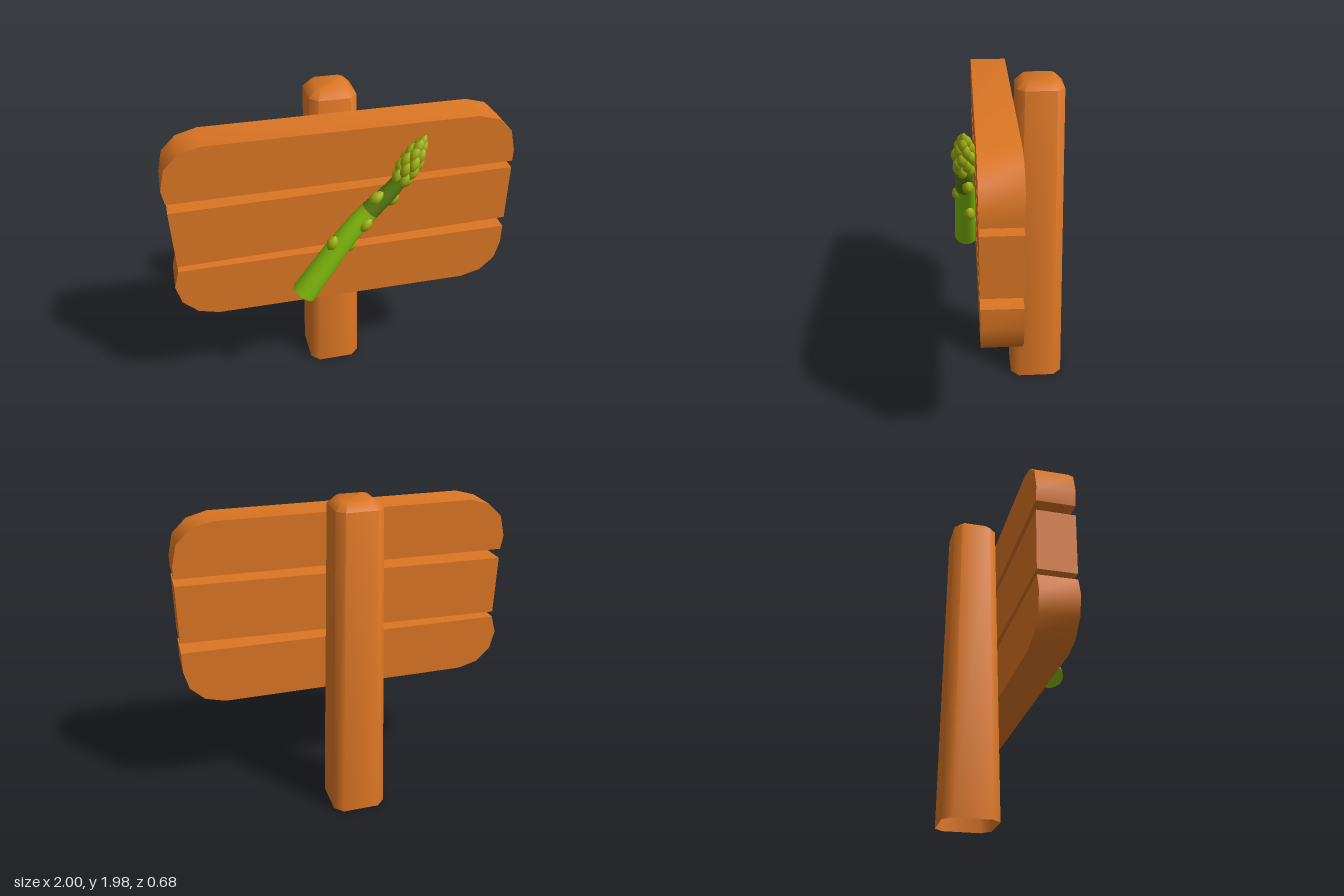
import * as THREE from 'three';
import { toCreasedNormals } from 'three/addons/utils/BufferGeometryUtils.js';

const mat = (name, color, side = THREE.FrontSide) => {
  const m = new THREE.MeshStandardMaterial({ color, side });
  m.name = name;
  return m;
};

export function createModel() {
  const model = new THREE.Group();
  const wood = mat('orange wood', 0xdc7624, THREE.DoubleSide);
  const lightGreen = mat('light green', 0x86c40e);
  const darkGreen = mat('dark green', 0x587f10);
  const budGreen = mat('bud green', 0x9fb00e);

  const add = (name, geometry, material, parent = model) => {
    const mesh = new THREE.Mesh(geometry, material);
    mesh.name = name;
    parent.add(mesh);
    return mesh;
  };

  // Post: tapered square section with cut corners, open underneath
  const levels = [[0, 0.165, 0.052], [1.93, 0.136, 0.045], [1.975, 0.09, 0.02]];
  const pos = [], index = [];
  for (const [y, r, c] of levels) {
    const k = r - c;
    for (const [x, z] of [[r, -k], [r, k], [k, r], [-k, r], [-r, k], [-r, -k], [-k, -r], [k, -r]])
      pos.push(x, y, z - 0.177);
  }
  for (let l = 0; l < 2; l++)
    for (let i = 0; i < 8; i++) {
      const a = l * 8 + i, b = l * 8 + (i + 1) % 8;
      index.push(a, a + 8, b, b, a + 8, b + 8);
    }
  for (let i = 1; i < 7; i++) index.push(16, 16 + i + 1, 16 + i);
  const postGeo = new THREE.BufferGeometry();
  postGeo.setAttribute('position', new THREE.Float32BufferAttribute(pos, 3));
  postGeo.setIndex(index);
  add('post', toCreasedNormals(postGeo, 0.9), wood);

  // Three boards cut from flat outlines
  const board = (name, points) => {
    const shape = new THREE.Shape(points.map(p => new THREE.Vector2(...p)));
    const geo = new THREE.ExtrudeGeometry(shape, { depth: 0.223, bevelEnabled: false });
    geo.translate(0, 0, -0.025);
    add(name, toCreasedNormals(geo, 0.65), wood);
  };
  board('topBoard', [[-0.985, 1.535], [1, 1.548], [1, 1.62], [0.97, 1.745], [0.885, 1.827], [0.765, 1.86],
    [-0.765, 1.86], [-0.885, 1.827], [-0.97, 1.745], [-1, 1.62]]);
  board('middleBoard', [[-0.97, 1.115], [1, 1.155], [1, 1.505], [-0.982, 1.476]]);
  board('bottomBoard', [[-0.765, 0.74], [0.765, 0.74], [0.885, 0.773], [0.97, 0.855], [1, 0.97], [1, 1.09],
    [-0.97, 1.08], [-1, 0.97], [-0.97, 0.855], [-0.885, 0.773]]);

  // Asparagus spear
  const spear = new THREE.Group();
  spear.name = 'asparagus';
  model.add(spear);
  const Z = 0.257;
  const V = (x, y, z = Z) => new THREE.Vector3(x, y, z);

  const taperedTube = (name, points, r0, r1, material) => {
    const curve = new THREE.CatmullRomCurve3(points);
    const segs = 12, sides = 20;
    const geo = new THREE.TubeGeometry(curve, segs, 1, sides);
    const p = geo.attributes.position, v = new THREE.Vector3();
    for (let i = 0; i <= segs; i++) {
      const c = curve.getPointAt(i / segs), r = r0 + (r1 - r0) * i / segs;
      for (let j = 0; j <= sides; j++) {
        const n = i * (sides + 1) + j;
        v.fromBufferAttribute(p, n).sub(c).multiplyScalar(r).add(c);
        p.setXYZ(n, v.x, v.y, v.z);
      }
    }
    add(name, geo, material, spear);
    return curve;
  };
  const lower = taperedTube('lowerStem',
    [V(-0.258, 0.845), V(-0.155, 0.995), V(-0.055, 1.14), V(0.035, 1.26), V(0.133, 1.37)], 0.076, 0.056, lightGreen);
  taperedTube('upperStem', [V(0.133, 1.37), V(0.23, 1.465), V(0.295, 1.54), V(0.37, 1.69)], 0.056, 0.035, darkGreen);

  // Cut end of the stem
  const cut = add('cutEnd', new THREE.CircleGeometry(0.076, 20), lightGreen, spear);
  cut.position.copy(lower.getPointAt(0));
  cut.quaternion.setFromUnitVectors(V(0, 0, 1), lower.getTangentAt(0).negate());

  // Pointed bud scales
  const budGeo = new THREE.LatheGeometry([[0, -0.5], [0.24, -0.43], [0.42, -0.25], [0.5, -0.02], [0.43, 0.2],
    [0.25, 0.38], [0.09, 0.46], [0, 0.52]].map(p => new THREE.Vector2(...p)), 12);
  const bud = (name, position, direction, width, length) => {
    const m = add(name, budGeo, budGreen, spear);
    m.position.copy(position);
    m.quaternion.setFromUnitVectors(V(0, 1, 0), direction.clone().normalize());
    m.scale.set(width, length, width);
  };
  [[-0.088, 1.195, 0.28, 0.35, 1], [0.1, 1.31, 0.302, 0.8, 1], [0.165, 1.462, 0.275, 0.9, 0.8],
    [0.272, 1.425, 0.24, 0.6, 1], [0.03, 1.14, 0.235, 0.45, 1]].forEach(([x, y, z, dx, dy]) =>
    bud('stemBud', V(x, y, z), V(dx, dy, 0.1), 0.068, 0.105));

  // Head: staggered rings of buds closing to a point
  const base = V(0.315, 1.565), axis = V(0.45, 0.89, 0).normalize();
  const side = V(axis.y, -axis.x, 0), front = V(0, 0, 1);
  [[0, 0.038, 5], [0.06, 0.044, 5], [0.115, 0.044, 5], [0.165, 0.032, 5], [0.205, 0.018, 3]].forEach(([h, r, n], row) => {
    for (let i = 0; i < n; i++) {
      const a = (i + (row % 2) / 2) / n * Math.PI * 2 + 0.3;
      const out = side.clone().multiplyScalar(Math.cos(a)).addScaledVector(front, Math.sin(a));
      const p = base.clone().addScaledVector(axis, h).addScaledVector(out, r);
      bud('headBud', p, axis.clone().addScaledVector(out, row < 2 ? 0.15 : -0.15), 0.054, 0.1);
    }
  });
  bud('tipBud', base.clone().addScaledVector(axis, 0.225), axis, 0.05, 0.105);
  return model;
}
